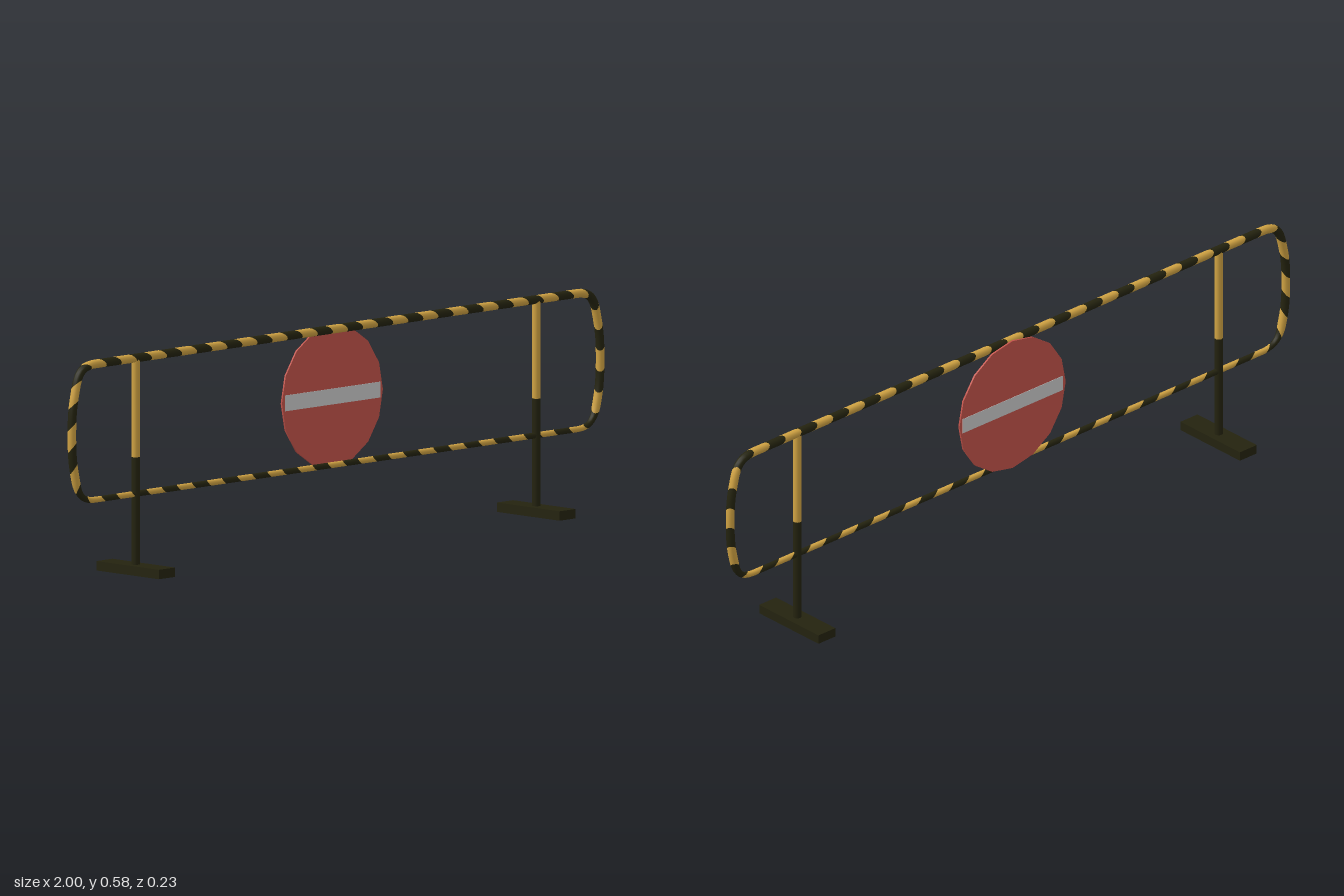
import * as THREE from 'three';

const mat = (name, color, side = THREE.FrontSide) => {
  const m = new THREE.MeshStandardMaterial({ color, side });
  m.name = name;
  return m;
};

// Closed centre line of the frame: straight rails with rounded, slightly bowed ends
function framePath() {
  const top = 0.572, bottom = 0.212, mid = 0.392;
  const V = (x, y) => new THREE.Vector3(x, y, 0);
  const path = new THREE.CurvePath();
  const bend = (...p) => path.add(new THREE.CubicBezierCurve3(...p));
  const line = (a, b) => path.add(new THREE.LineCurve3(a, b));
  bend(V(0.989, mid), V(0.989, 0.46), V(0.982, 0.48), V(0.973, 0.52));
  bend(V(0.973, 0.52), V(0.962, 0.56), V(0.945, top), V(0.9, top));
  line(V(0.9, top), V(-0.9, top));
  bend(V(-0.9, top), V(-0.945, top), V(-0.962, 0.56), V(-0.973, 0.52));
  bend(V(-0.973, 0.52), V(-0.982, 0.48), V(-0.989, 0.46), V(-0.989, mid));
  bend(V(-0.989, mid), V(-0.989, 0.32), V(-0.982, 0.3), V(-0.973, 0.262));
  bend(V(-0.973, 0.262), V(-0.962, 0.225), V(-0.945, bottom), V(-0.9, bottom));
  line(V(-0.9, bottom), V(0.9, bottom));
  bend(V(0.9, bottom), V(0.945, bottom), V(0.962, 0.225), V(0.973, 0.262));
  bend(V(0.973, 0.262), V(0.982, 0.3), V(0.989, 0.32), V(0.989, mid));
  return path;
}

// Tube cut into slanted bands; returns the geometry of every second band
function stripedTube(path, bands, parity) {
  const sides = 12, steps = 5, length = path.getLength();
  const pos = [], nor = [], idx = [];
  for (let b = parity; b < bands; b += 2) {
    const start = pos.length / 3;
    for (let i = 0; i <= steps; i++) {
      for (let j = 0; j <= sides; j++) {
        const a = (j / sides) * Math.PI * 2;
        const slant = 0.009 * (Math.cos(a) - Math.sin(a)) / length;
        const u = (((b - 0.4 + i / steps) / bands + slant) % 1 + 1) % 1;
        const p = path.getPointAt(u), t = path.getTangentAt(u);
        // the lower rail is thinner than the upper one
        const r = THREE.MathUtils.lerp(0.008, 0.0118, THREE.MathUtils.smoothstep(p.y, 0.21, 0.27));
        const n = new THREE.Vector3(t.y * Math.cos(a), -t.x * Math.cos(a), Math.sin(a));
        pos.push(p.x + n.x * r, p.y + n.y * r, n.z * r);
        nor.push(n.x, n.y, n.z);
      }
    }
    for (let i = 0; i < steps; i++) {
      for (let j = 0; j < sides; j++) {
        const a = start + i * (sides + 1) + j, c = a + sides + 1;
        idx.push(a, c, a + 1, c, c + 1, a + 1);
      }
    }
  }
  const g = new THREE.BufferGeometry();
  g.setAttribute('position', new THREE.Float32BufferAttribute(pos, 3));
  g.setAttribute('normal', new THREE.Float32BufferAttribute(nor, 3));
  g.setIndex(idx);
  return g;
}

export function createModel() {
  const yellow = mat('yellow paint', 0xd2a443, THREE.DoubleSide);
  const black = mat('black paint', 0x24230f, THREE.DoubleSide);
  const red = mat('red sign', 0xc4544b);
  const white = mat('white bar', 0xcccccc);

  const model = new THREE.Group();
  model.name = 'barrier';
  const add = (parent, name, geometry, material, x = 0, y = 0, z = 0) => {
    const mesh = new THREE.Mesh(geometry, material);
    mesh.name = name;
    mesh.position.set(x, y, z);
    parent.add(mesh);
    return mesh;
  };

  // Striped frame
  const path = framePath();
  path.arcLengthDivisions = 1000;
  const bands = 2 * Math.round(path.getLength() / 0.113);
  add(model, 'frameYellowStripes', stripedTube(path, bands, 0), yellow);
  add(model, 'frameBlackStripes', stripedTube(path, bands, 1), black);

  // Two legs, each with a two-colour post and a hollow foot
  const rim = new THREE.Shape();
  rim.moveTo(-0.03, -0.115).lineTo(0.03, -0.115).lineTo(0.03, 0.115).lineTo(-0.03, 0.115).closePath();
  const hollow = new THREE.Path();
  hollow.moveTo(-0.022, -0.107).lineTo(-0.022, 0.107).lineTo(0.022, 0.107).lineTo(0.022, -0.107).closePath();
  rim.holes.push(hollow);
  const rimGeometry = new THREE.ExtrudeGeometry(rim, { depth: 0.018, bevelEnabled: false });
  rimGeometry.rotateX(-Math.PI / 2);
  for (const side of [1, -1]) {
    const leg = new THREE.Group();
    leg.name = side > 0 ? 'leftLeg' : 'rightLeg';
    leg.position.x = side * 0.75;
    add(leg, 'upperPost', new THREE.CylinderGeometry(0.011, 0.011, 0.262, 12), yellow, 0, 0.441);
    add(leg, 'lowerPost', new THREE.CylinderGeometry(0.0112, 0.0112, 0.29, 12), black, 0, 0.165);
    add(leg, 'footRim', rimGeometry, black);
    add(leg, 'footTop', new THREE.BoxGeometry(0.06, 0.007, 0.23), black, 0, 0.0215);
    model.add(leg);
  }

  // Round sign behind the frame, with a bar on both faces
  const sign = new THREE.Group();
  sign.name = 'sign';
  sign.position.set(0, 0.391, -0.0155);
  const disc = new THREE.CylinderGeometry(0.189, 0.189, 0.005, 16);
  disc.rotateX(Math.PI / 2);
  add(sign, 'signDisc', disc, red);
  for (const z of [0.0025, -0.0025]) {
    add(sign, z > 0 ? 'frontBar' : 'backBar', new THREE.BoxGeometry(0.356, 0.042, 0.002), white, 0, 0, z);
  }
  model.add(sign);
  return model;
}
